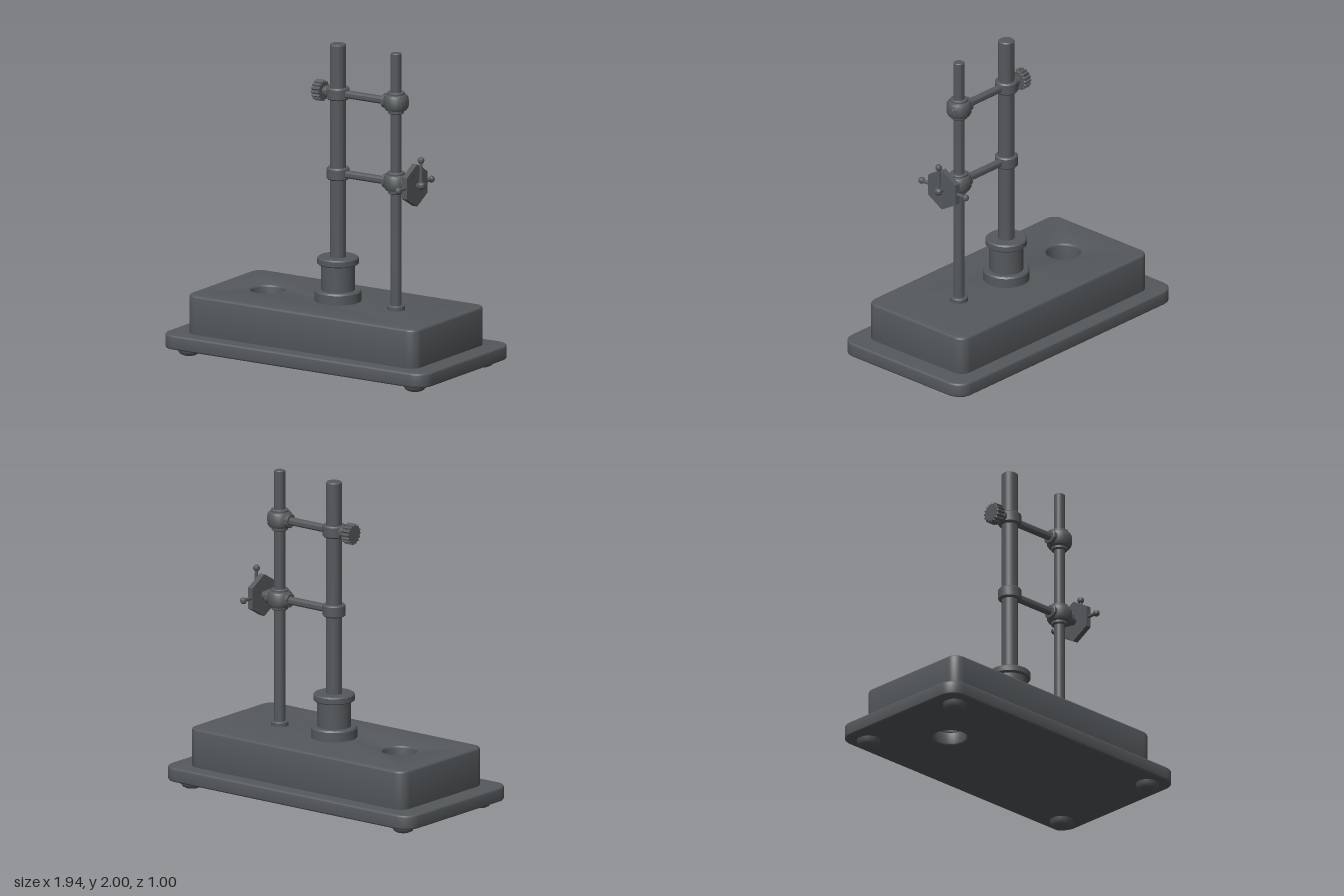
import * as THREE from 'three';
import { toCreasedNormals } from 'three/addons/utils/BufferGeometryUtils.js';

const metal = new THREE.MeshStandardMaterial({ color: 0x55595c });
metal.name = 'dark grey metal';

const POST_X = 0.015, ROD_X = 0.442, UPPER_Y = 1.69, LOWER_Y = 1.185;

function add(parent, name, geometry, x = 0, y = 0, z = 0) {
  const mesh = new THREE.Mesh(toCreasedNormals(geometry, 0.6), metal);
  mesh.name = name;
  mesh.position.set(x, y, z);
  parent.add(mesh);
  return mesh;
}

// Turned part from [radius, height] pairs; it runs along y, x or z
function turned(points, axis = 'y', sides = 32) {
  const g = new THREE.LatheGeometry(points.map(p => new THREE.Vector2(p[0], p[1])), sides);
  if (axis === 'x') g.rotateZ(-Math.PI / 2);
  if (axis === 'z') g.rotateX(Math.PI / 2);
  return g;
}

// Bar with chamfered ends between a and b along an axis
function bar(r, a, b, axis = 'y', c = 0.005) {
  return turned([[0, a], [r - c, a], [r, a + c], [r, b - c], [r - c, b], [0, b]], axis);
}

// Rounded rectangular slab with the round through-hole
function slab(w, d, r, height, bevel) {
  const s = new THREE.Shape();
  const x = w / 2, y = d / 2;
  s.moveTo(-x + r, -y);
  s.lineTo(x - r, -y);
  s.absarc(x - r, -y + r, r, -Math.PI / 2, 0);
  s.absarc(x - r, y - r, r, 0, Math.PI / 2);
  s.absarc(-x + r, y - r, r, Math.PI / 2, Math.PI);
  s.absarc(-x + r, -y + r, r, Math.PI, Math.PI * 1.5);
  const hole = new THREE.Path();
  hole.absarc(-0.5, 0, 0.105, 0, Math.PI * 2, true);
  s.holes.push(hole);
  const g = new THREE.ExtrudeGeometry(s, {
    depth: height - 2 * bevel, bevelSize: bevel, bevelThickness: bevel,
    bevelOffset: -bevel, bevelSegments: 3, curveSegments: 16,
  });
  g.translate(0, 0, bevel);
  return g.rotateX(-Math.PI / 2);
}

// Cross clamp: turned hub around the rod with a cross boss along the arm
function clamp(parent, y, left, right) {
  const hub = new THREE.Group();
  hub.name = 'rodClamp';
  hub.position.set(ROD_X, y, 0);
  parent.add(hub);
  add(hub, 'clampHub', turned([
    [0, -0.07], [0.045, -0.07], [0.05, -0.065], [0.05, -0.05], [0.066, -0.046],
    [0.076, -0.03], [0.076, 0.03], [0.066, 0.046], [0.055, 0.05],
    [0.055, 0.06], [0.05, 0.065], [0, 0.065]]));
  add(hub, 'clampBoss', bar(0.045, left, right, 'x'));
}

export function createModel() {
  const model = new THREE.Group();
  model.name = 'rodStand';

  // Base
  add(model, 'basePlate', slab(1.94, 1.0, 0.1, 0.09, 0.012), 0, 0.048);
  add(model, 'baseBlock', slab(1.69, 0.8, 0.07, 0.255, 0.015), 0, 0.126);
  for (const x of [-0.83, 0.83]) {
    for (const z of [-0.375, 0.375]) {
      add(model, 'foot', turned([[0, 0], [0.04, 0], [0.058, 0.009], [0.069, 0.026],
        [0.073, 0.055], [0, 0.055]]), x, 0, z);
    }
  }

  // Main post and its stepped socket
  add(model, 'postSocket', turned([
    [0, 0.375], [0.143, 0.375], [0.143, 0.44], [0.135, 0.45], [0.105, 0.45],
    [0.105, 0.612], [0.122, 0.612], [0.128, 0.618], [0.128, 0.65], [0.12, 0.658], [0, 0.658]]), POST_X);
  add(model, 'mainPost', bar(0.05, 0.6, 2.0, 'y', 0.007), POST_X);

  // Side rod and its foot collar
  add(model, 'sideRod', bar(0.034, 0.37, 2.0), ROD_X);
  add(model, 'rodCollar', bar(0.055, 0.375, 0.41), ROD_X);

  // Two cross arms with post rings
  for (const y of [UPPER_Y, LOWER_Y]) {
    add(model, 'postRing', bar(0.071, -0.038, 0.038, 'y', 0.008), POST_X, y);
    add(model, 'crossArm', bar(0.025, 0.05, ROD_X, 'x'), 0, y);
  }
  clamp(model, UPPER_Y, -0.09, 0.07);
  clamp(model, LOWER_Y, -0.085, 0.092);
  add(model, 'clampScrew', bar(0.025, 0.5, 0.518, 'x'), 0, UPPER_Y);

  // Fluted tightening knob on the upper ring
  const flute = new THREE.Shape();
  const teeth = 16;
  for (let i = 0; i < teeth * 4; i++) {
    const a = i / (teeth * 4) * Math.PI * 2;
    const r = i % 4 < 2 ? 0.066 : 0.057;
    if (i === 0) flute.moveTo(r, 0);
    else flute.lineTo(r * Math.cos(a), r * Math.sin(a));
  }
  const knob = new THREE.ExtrudeGeometry(flute, {
    depth: 0.05, bevelSize: 0.004, bevelThickness: 0.004, bevelOffset: -0.004, bevelSegments: 1,
  });
  add(model, 'knob', knob.rotateY(Math.PI / 2), -0.141, UPPER_Y);
  add(model, 'knobStem', bar(0.028, -0.09, -0.03, 'x'), 0, UPPER_Y);
  add(model, 'knobBoss', bar(0.038, -0.072, -0.04, 'x'), 0, UPPER_Y);

  // Hexagonal hand plate on the lower clamp
  const wheel = new THREE.Group();
  wheel.name = 'handWheel';
  wheel.position.y = LOWER_Y;
  model.add(wheel);
  add(wheel, 'wheelStem', bar(0.028, 0.52, 0.57, 'x'));
  const hex = new THREE.CylinderGeometry(0.133, 0.133, 0.036, 6);
  hex.rotateZ(Math.PI / 2);
  hex.rotateX(Math.PI / 2);
  // Points face up and down
  hex.computeBoundingBox();
  if (hex.boundingBox.max.y < 0.13) hex.rotateX(Math.PI / 6);
  add(wheel, 'hexPlate', hex, 0.58);

  // Two side handles
  for (const s of [-1, 1]) {
    add(wheel, 'sideHandle', bar(0.011, 0.08, 0.19, 'z').rotateY(s < 0 ? Math.PI : 0), 0.58);
    add(wheel, 'sideGrip', new THREE.SphereGeometry(0.021, 20, 14), 0.58, 0, s * 0.183);
  }

  // Crank lever in front of the plate
  add(wheel, 'crankPin', bar(0.014, 0.58, 0.63, 'x'));
  add(wheel, 'crankBall', new THREE.SphereGeometry(0.026, 20, 14), 0.627, 0.002);
  add(wheel, 'crankLever', turned([[0.014, 0], [0.009, 0.155]]), 0.626);
  add(wheel, 'crankGrip', new THREE.SphereGeometry(0.021, 20, 14), 0.625, 0.162);

  return model;
}
